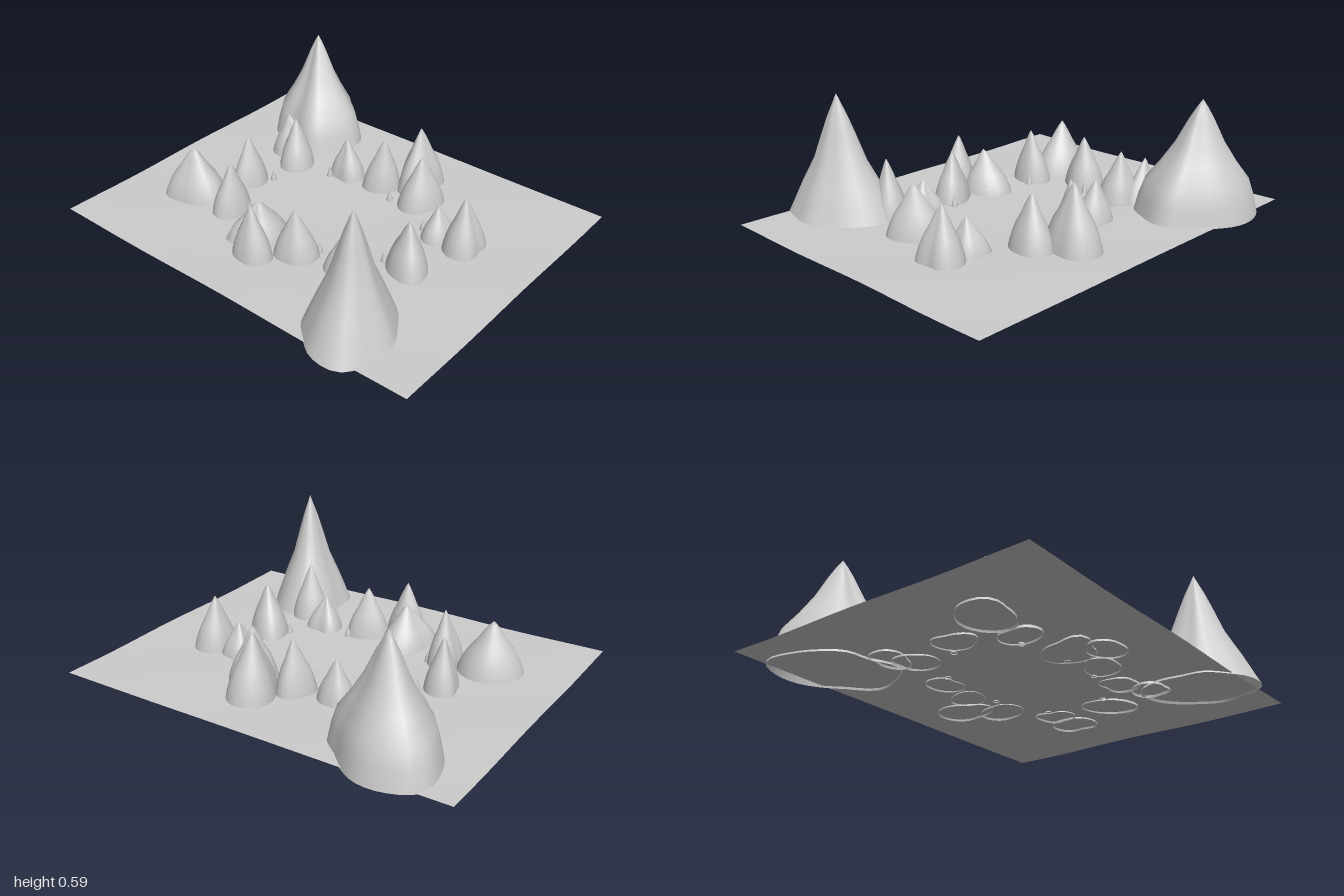
import * as THREE from 'three';

const stone = new THREE.MeshStandardMaterial({ color: 0xcccccc, side: THREE.DoubleSide });
stone.name = 'paleStone';

// Profiles: [height fraction, radius fraction] from base to just below the tip
const BULLET = [[0, 1], [0.12, 0.95], [0.28, 0.84], [0.45, 0.68], [0.62, 0.46], [0.78, 0.29], [0.92, 0.12]];
const SPIRE = [[0, 1], [0.13, 0.86], [0.26, 0.72], [0.47, 0.47], [0.68, 0.3], [0.82, 0.18], [0.93, 0.07]];
const DOME = [[0, 1], [0.15, 0.93], [0.3, 0.83], [0.46, 0.6], [0.63, 0.39], [0.83, 0.2], [0.93, 0.09]];

// Periodic smooth interpolation of outline radii
function radiusAt(radii, u) {
  const n = radii.length, i = Math.floor(u * n), t = u * n - i;
  const [a, b, c, d] = [-1, 0, 1, 2].map((k) => radii[(i + k + n) % n]);
  return b + 0.5 * t * (c - a + t * (2 * a - 5 * b + 4 * c - d + t * (3 * (b - c) + d - a)));
}

// Open pointed rock; radii run from +x toward +z around the peak
function makeRock(name, x, z, height, radii, profile = BULLET, sides = 24) {
  const pos = [], index = [];
  for (const [h, f] of profile) {
    for (let i = 0; i < sides; i++) {
      const a = (i / sides) * Math.PI * 2, r = radiusAt(radii, i / sides) * f;
      pos.push(r * Math.cos(a), h * height, r * Math.sin(a));
    }
  }
  const tip = pos.length / 3;
  pos.push(0, height, 0);
  for (let k = 0; k < profile.length; k++) {
    for (let i = 0; i < sides; i++) {
      const a = k * sides + i, b = k * sides + ((i + 1) % sides);
      if (k === profile.length - 1) index.push(a, tip, b);
      else index.push(a, a + sides, b, b, a + sides, b + sides);
    }
  }
  const geo = new THREE.BufferGeometry();
  geo.setAttribute('position', new THREE.Float32BufferAttribute(pos, 3));
  geo.setIndex(index);
  geo.computeVertexNormals();
  const mesh = new THREE.Mesh(geo, stone);
  mesh.name = name;
  mesh.position.set(x, 0, z);
  return mesh;
}

// Thin, gently rolling sheet that dips in the middle
function makeGround() {
  const geo = new THREE.PlaneGeometry(1.57, 2, 20, 24).rotateX(-Math.PI / 2);
  const p = geo.attributes.position;
  for (let i = 0; i < p.count; i++) {
    const x = p.getX(i), z = p.getZ(i);
    const rim = THREE.MathUtils.smoothstep(Math.hypot(x, z * 0.8), 0.2, 0.5);
    p.setY(i, 0.002 + rim * (0.008 + 0.003 * Math.sin(7 * x + 1) * Math.cos(6 * z)));
  }
  geo.computeVertexNormals();
  const mesh = new THREE.Mesh(geo, stone);
  mesh.name = 'ground';
  return mesh;
}

export function createModel() {
  const model = new THREE.Group();
  model.name = 'rockCircle';
  model.add(makeGround());

  // Two large peaks on opposite corners
  model.add(
    makeRock('backLeftPeak', 0.6, -0.605, 0.557,
      [0.235, 0.21, 0.215, 0.285, 0.285, 0.3, 0.22, 0.235, 0.23, 0.25, 0.295, 0.265], DOME, 36),
    makeRock('frontRightPeak', -0.585, 0.578, 0.59,
      [0.255, 0.21, 0.19, 0.21, 0.22, 0.27, 0.25, 0.215, 0.215, 0.2, 0.24, 0.285], SPIRE, 36),
  );

  // Ring of small rocks
  const ring = new THREE.Group();
  ring.name = 'smallRocks';
  const add = (...args) => ring.add(makeRock('smallRock', ...args));
  // back
  add(-0.29, -0.64, 0.27, [0.13, 0.15, 0.17, 0.13, 0.115, 0.155, 0.14, 0.12]);
  add(-0.285, -0.395, 0.27, [0.105, 0.085, 0.07, 0.08, 0.105, 0.1, 0.075, 0.1]);
  add(-0.035, -0.52, 0.26, [0.1, 0.09, 0.085, 0.085, 0.11, 0.08, 0.07, 0.105]);
  add(0.25, -0.46, 0.26, [0.08, 0.09, 0.1, 0.115, 0.11, 0.085, 0.09, 0.1]);
  add(0.315, -0.565, 0.22, [0.06, 0.1, 0.14, 0.09, 0.09, 0.09, 0.08, 0.08]);
  // left side
  add(0.325, -0.185, 0.21, [0.075, 0.085, 0.1, 0.1, 0.07, 0.085, 0.085, 0.085]);
  add(0.355, 0.025, 0.27, [0.095, 0.085, 0.08, 0.08, 0.09, 0.11, 0.085, 0.08]);
  add(0.482, 0.15, 0.32, [0.14, 0.13, 0.1, 0.12, 0.15, 0.1, 0.105, 0.13]);
  add(0.34, 0.26, 0.265, [0.12, 0.12, 0.095, 0.1, 0.12, 0.115, 0.085, 0.095]);
  // front
  add(0.165, 0.48, 0.17, [0.09, 0.09, 0.07, 0.085, 0.09, 0.08, 0.065, 0.11]);
  add(0.168, 0.62, 0.27, [0.11, 0.11, 0.085, 0.12, 0.115, 0.1, 0.085, 0.1]);
  add(-0.125, 0.525, 0.26, [0.11, 0.09, 0.1, 0.13, 0.105, 0.1, 0.115, 0.15]);
  // right side
  add(-0.403, 0.45, 0.29, [0.105, 0.1, 0.075, 0.08, 0.06, 0.08, 0.1, 0.1]);
  add(-0.32, 0.3, 0.175, [0.075, 0.1, 0.1, 0.09, 0.07, 0.08, 0.085, 0.105]);
  add(-0.365, 0.075, 0.25, [0.085, 0.11, 0.1, 0.09, 0.08, 0.1, 0.105, 0.08]);
  add(-0.485, -0.08, 0.27, [0.085, 0.09, 0.11, 0.1, 0.08, 0.09, 0.1, 0.08]);
  add(-0.37, -0.14, 0.21, [0.16, 0.13, 0.11, 0.1, 0.09, 0.16, 0.115, 0.135]);
  model.add(ring);

  // Tiny spikes along the inner edge of the ring
  const spikes = new THREE.Group();
  spikes.name = 'tinySpikes';
  const spots = [[0.045, -0.435], [0.252, -0.238], [0.268, 0.127], [0.162, 0.4],
    [-0.15, 0.41], [-0.278, 0.143], [-0.283, -0.068], [-0.237, -0.333]];
  for (const [x, z] of spots) {
    spikes.add(makeRock('tinySpike', x, z, 0.06, [0.016, 0.017, 0.015, 0.017], BULLET, 8));
  }
  model.add(spikes);
  return model;
}
